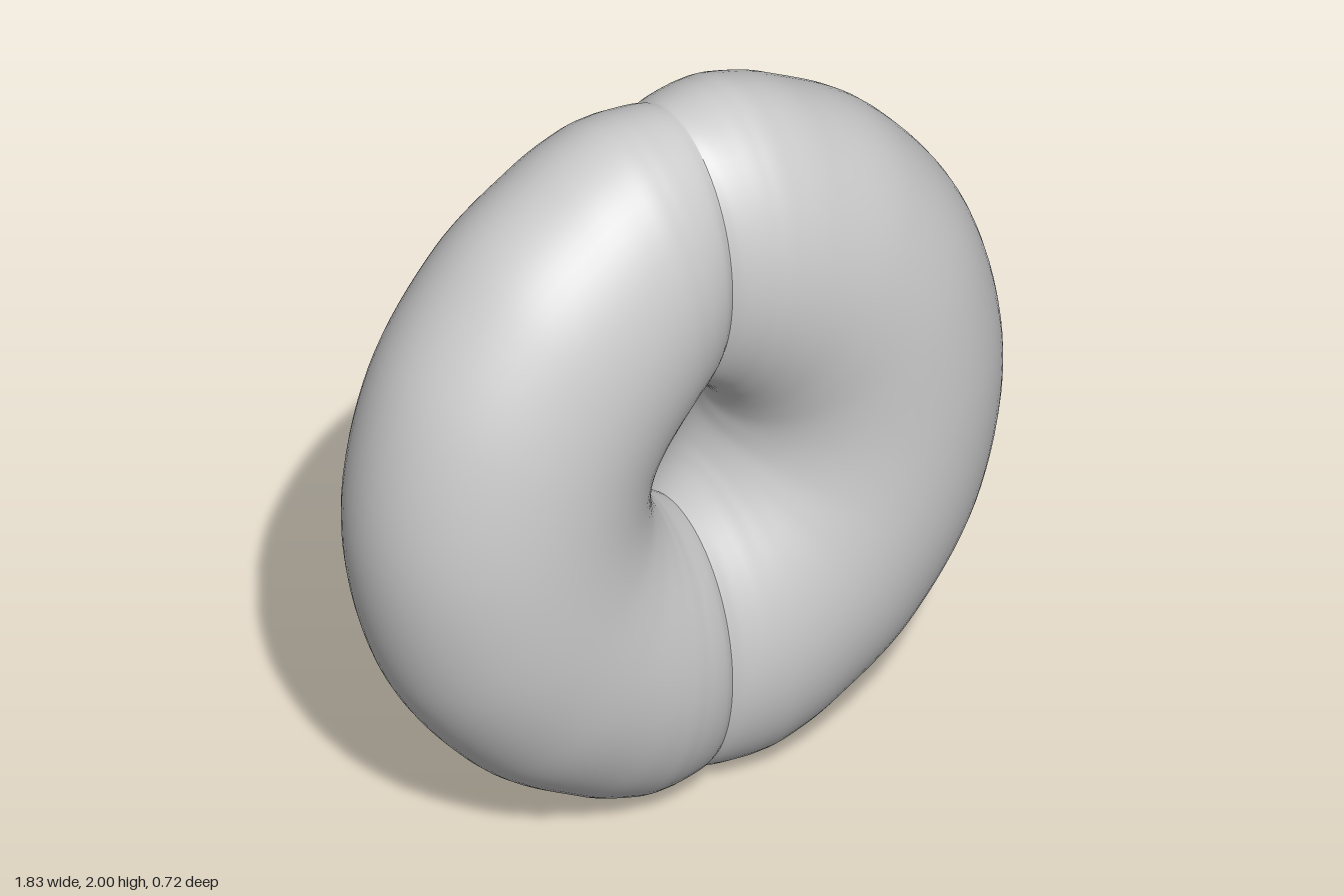
import * as THREE from 'three';

// Stations from the top seam to the side: outer x, y, inner x, y, half depth (y from the centre)
const STATIONS = [
  [0, 0.99, 0, 0.205, 0.27],
  [0.03, 0.995, 0.02, 0.19, 0.288],
  [0.08, 0.999, 0.045, 0.17, 0.304],
  [0.14, 1.0, 0.065, 0.152, 0.316],
  [0.22, 0.986, 0.08, 0.135, 0.328],
  [0.372, 0.917, 0.1, 0.108, 0.341],
  [0.612, 0.743, 0.118, 0.07, 0.352],
  [0.829, 0.423, 0.128, 0.035, 0.358],
  [0.915, 0, 0.13, 0, 0.36],
];

// Half ring: elliptical sections swept between the outer and inner curves
function halfRingGeometry(steps = 128, sides = 64) {
  const lower = STATIONS.slice(0, -1).reverse()
    .map(([ox, oy, ix, iy, d]) => [ox, -oy, ix, -iy, d]);
  const rows = [...STATIONS, ...lower];
  const curve = (pick) => new THREE.CatmullRomCurve3(rows.map(pick), false, 'catmullrom', 0.5);
  const outer = curve((r) => new THREE.Vector3(r[0], r[1], 0));
  const inner = curve((r) => new THREE.Vector3(r[2], r[3], 0));
  const depth = curve((r) => new THREE.Vector3(r[4], 0, 0));

  const positions = [], indices = [];
  for (let i = 0; i <= steps; i++) {
    const t = i / steps;
    const o = outer.getPoint(t), n = inner.getPoint(t), d = depth.getPoint(t).x;
    for (let j = 0; j < sides; j++) {
      const a = (j / sides) * Math.PI * 2;
      const p = n.clone().lerp(o, 0.5 + 0.5 * Math.cos(a));
      positions.push(p.x, p.y, d * Math.sin(a));
      if (i < steps) {
        const k = (j + 1) % sides, r = i * sides, s = r + sides;
        indices.push(r + j, r + k, s + j, r + k, s + k, s + j);
      }
    }
  }
  const geometry = new THREE.BufferGeometry();
  geometry.setAttribute('position', new THREE.Float32BufferAttribute(positions, 3));
  geometry.setIndex(indices);
  geometry.computeVertexNormals();
  return geometry;
}

export function createModel() {
  const group = new THREE.Group();
  group.name = 'splitRing';
  const material = new THREE.MeshStandardMaterial({ color: 0xcccccc });
  const geometry = halfRingGeometry();

  // Two equal halves meeting at a seam on x = 0
  [['leftHalf', 0], ['rightHalf', Math.PI]].forEach(([name, turn]) => {
    const half = new THREE.Mesh(geometry, material);
    half.name = name;
    half.position.y = 1;
    half.rotation.y = turn;
    group.add(half);
  });
  return group;
}
